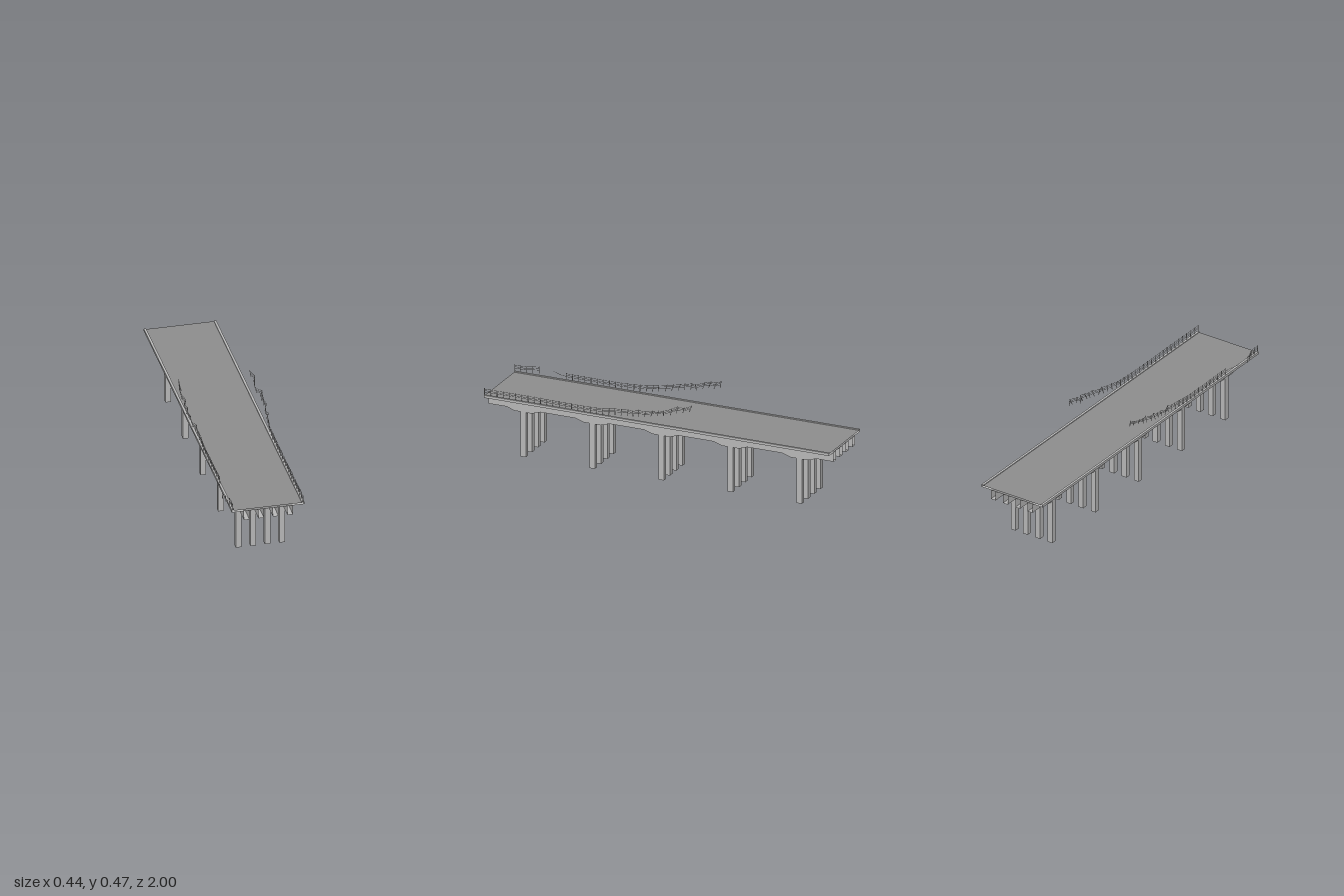
import * as THREE from 'three';
import { mergeGeometries } from 'three/addons/utils/BufferGeometryUtils.js';

const CENTRE = -0.004;
const TOP = 0.336;      // kerb top
const ROAD = 0.332;     // road surface
const SOFFIT = 0.322;   // underside of the slab
const GIRDER = 0.268;   // underside of the girders
const concrete = new THREE.MeshStandardMaterial({ color: 0xb9b9b9, side: THREE.DoubleSide });
const asphalt = new THREE.MeshStandardMaterial({ color: 0x8e8e8e, side: THREE.DoubleSide });
const steel = new THREE.MeshStandardMaterial({ color: 0xb9b9b9 });

// Small seeded random generator, -1 to 1
function makeRandom(seed) {
  let s = seed;
  return () => {
    s = (s * 16807) % 2147483647;
    return (s / 2147483647) * 2 - 1;
  };
}

// Open strip: a cross-section (x, y) run along the whole length
function strip(pts) {
  const out = [];
  for (let i = 0; i < pts.length - 1; i++) {
    const [ax, ay] = pts[i], [bx, by] = pts[i + 1];
    out.push(ax, ay, -1, bx, by, -1, bx, by, 1, ax, ay, -1, bx, by, 1, ax, ay, 1);
  }
  const geo = new THREE.BufferGeometry();
  geo.setAttribute('position', new THREE.Float32BufferAttribute(out, 3));
  geo.computeVertexNormals();
  return geo;
}

// Leaves open every face whose three corners pass the test
function dropFaces(geo, test) {
  const p = geo.attributes.position, out = [];
  for (let i = 0; i < p.count; i += 3) {
    const tri = [0, 1, 2].map(k => new THREE.Vector3().fromBufferAttribute(p, i + k));
    if (!tri.every(test)) tri.forEach(v => out.push(v.x, v.y, v.z));
  }
  const g = new THREE.BufferGeometry();
  g.setAttribute('position', new THREE.Float32BufferAttribute(out, 3));
  g.computeVertexNormals();
  return g;
}

// One girder with its haunches and five columns as a single side outline, open at its ends
function frameGeometry() {
  const width = 0.03, pts = [[-1, SOFFIT], [-1, GIRDER]];
  const half = [[0.098, GIRDER], [0.05, 0.252], [0.015, 0.252], [0.015, 0]];
  for (const z of [-0.8, -0.4, 0, 0.4, 0.8]) {
    half.forEach(([d, y]) => pts.push([z - d, y]));
    [...half].reverse().forEach(([d, y]) => pts.push([z + d, y]));
  }
  pts.push([1, GIRDER], [1, SOFFIT]);
  const outline = new THREE.Shape(pts.map(p => new THREE.Vector2(p[0], p[1])));
  const geo = new THREE.ExtrudeGeometry(outline, { depth: width, bevelEnabled: false });
  geo.rotateY(-Math.PI / 2).translate(width / 2, 0, 0);
  const tests = [
    v => v.z > 0.999, v => v.z < -0.999, v => v.y < 0.001, v => v.y > SOFFIT - 0.001,
  ];
  return tests.reduce(dropFaces, geo);
}

// Foot line of the railing: z, outward distance, height
const railPath = new THREE.CatmullRomCurve3([
  [1, 0.189, 0.336], [0.7, 0.189, 0.336], [0.35, 0.19, 0.336], [0.2, 0.191, 0.352],
  [0.05, 0.206, 0.377], [-0.07, 0.203, 0.402], [-0.13, 0.196, 0.42], [-0.19, 0.191, 0.437],
].map(([z, x, y]) => new THREE.Vector3(x, y, z)));

// Finds the foot point at a given z
function footAt(z) {
  let lo = 0, hi = 1;
  for (let i = 0; i < 24; i++) {
    const mid = (lo + hi) / 2;
    if (railPath.getPoint(mid).z > z) lo = mid; else hi = mid;
  }
  return railPath.getPoint(lo);
}

const rail = pts => new THREE.TubeGeometry(new THREE.CatmullRomCurve3(pts), pts.length * 2, 0.0011, 4);

// A stretch of railing: leaning posts joined by three rails
function railingGeometry(side, zStart, zEnd, bend, seed) {
  const rnd = makeRandom(seed), n = Math.max(4, Math.round((zStart - zEnd) / 0.036));
  const parts = [], rails = [[], [], []], up = new THREE.Vector3(0, 1, 0);
  for (let i = 0; i <= n; i++) {
    const z = zStart + (zEnd - zStart) * i / n;
    const foot = footAt(z);
    const torn = THREE.MathUtils.clamp((0.35 - z) / 0.3, 0, 1);
    foot.x += bend(z) + rnd() * 0.004 * torn;
    foot.y += rnd() * 0.004 * torn;
    foot.x = foot.x * side + CENTRE;
    const lean = side * (0.04 + torn * rnd() * 0.4);
    const dir = new THREE.Vector3(lean, 1, torn * (-0.15 + rnd() * 0.35)).normalize();
    const post = new THREE.BoxGeometry(0.0025, 0.038, 0.0025);
    post.translate(0, 0.019, 0);
    post.applyQuaternion(new THREE.Quaternion().setFromUnitVectors(up, dir));
    post.translate(foot.x, foot.y, foot.z);
    parts.push(post);
    [0.017, 0.025, 0.034].forEach((h, k) => rails[k].push(foot.clone().addScaledVector(dir, h)));
  }
  return mergeGeometries([...parts, ...rails.map(rail)]);
}

export function createModel() {
  const model = new THREE.Group();
  model.name = 'brokenRailBridge';
  const add = (name, geo, material, x = 0) => {
    const mesh = new THREE.Mesh(geo, material);
    mesh.name = name;
    mesh.position.x = x;
    model.add(mesh);
  };

  // Road surface, slab underside, and an overhanging edge with kerb on each side
  const outer = 0.196, inner = 0.183, web = 0.134;
  const edge = [[web, SOFFIT], [outer, SOFFIT], [outer, TOP], [inner, TOP], [inner, ROAD]];
  add('road', strip([[inner, ROAD], [-inner, ROAD]]), asphalt, CENTRE);
  add('slabUnderside', strip([[-web, SOFFIT], [web, SOFFIT]]), asphalt, CENTRE);
  add('deckEdgeLeft', strip(edge), concrete, CENTRE);
  add('deckEdgeRight', strip(edge.map(([x, y]) => [-x, y]).reverse()), concrete, CENTRE);

  // Four parallel rows of girder and columns
  const frame = frameGeometry();
  [-0.119, -0.0405, 0.038, 0.116].forEach((x, i) => add('girderAndColumns' + (i + 1), frame, concrete, x));

  // Railings, torn away from the deck towards the back; the -x one is split near the front
  const ease = t => THREE.MathUtils.smoothstep(t, 0, 1);
  add('railingLeft', railingGeometry(1, 0.999, -0.19, () => 0, 11), steel);
  add('railingRightFront', railingGeometry(-1, 0.999, 0.87, z => 0.026 * ease((0.95 - z) / 0.08), 23), steel);
  add('railingRight', railingGeometry(-1, 0.7, -0.19, () => 0, 37), steel);

  // Loose rail end curling outward at the split
  add('looseRail', rail([
    [-0.219, 0.361, 0.79], [-0.209, 0.358, 0.76], [-0.198, 0.356, 0.73], [-0.194, 0.355, 0.7],
  ].map(p => new THREE.Vector3(...p))), steel);
  return model;
}
